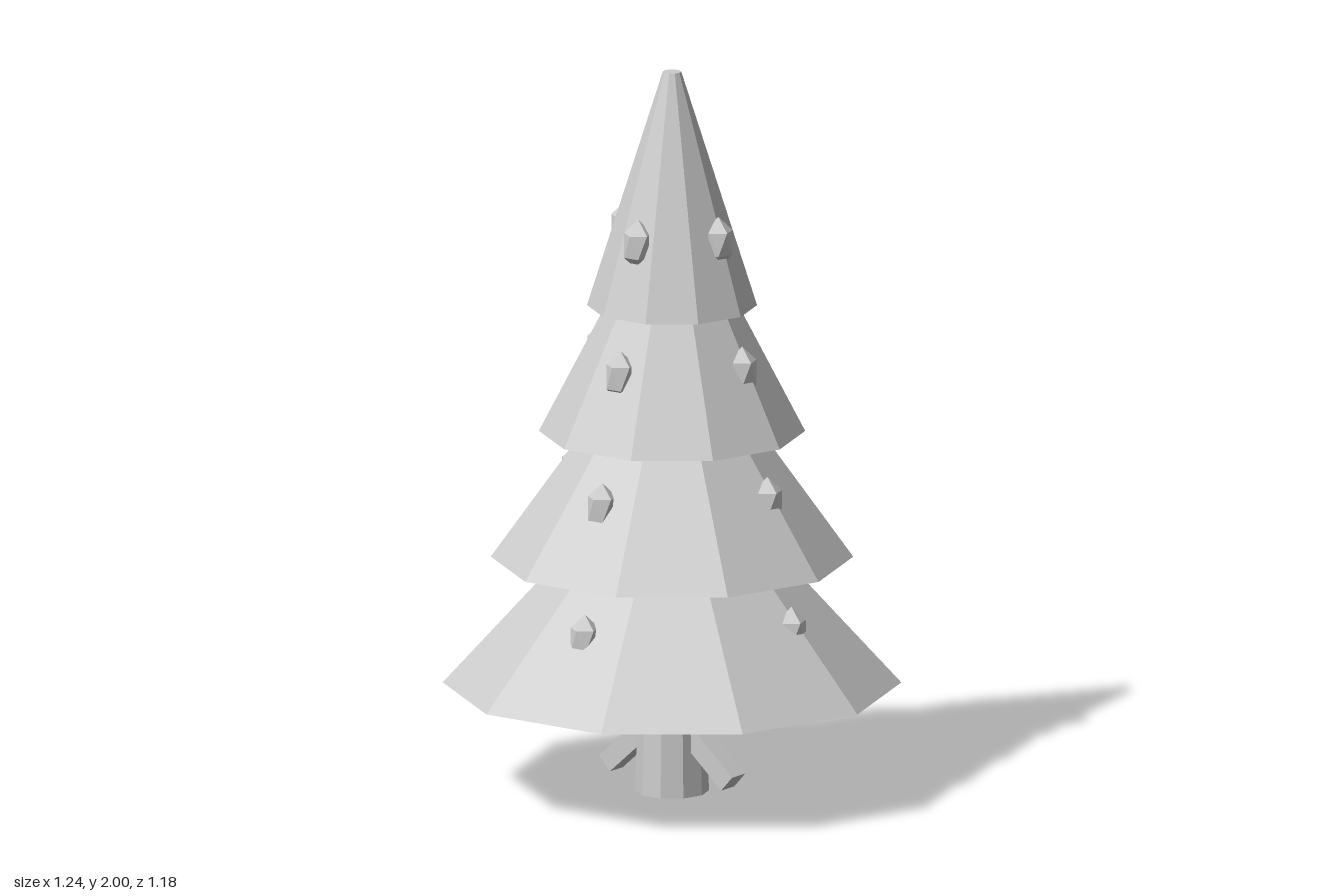
import * as THREE from 'three';

export function createModel() {
  const tree = new THREE.Group();
  tree.name = 'pineTree';
  const paleGrey = new THREE.MeshStandardMaterial({ color: 0xcccccc, flatShading: true });
  paleGrey.name = 'paleGrey';

  const add = (name, geometry, x, y, z) => {
    const mesh = new THREE.Mesh(geometry, paleGrey);
    mesh.name = name;
    mesh.position.set(x, y, z);
    tree.add(mesh);
    return mesh;
  };
  // Ten-sided frustum with corners on the x axis, standing on its base
  const frustum = (top, bottom, height) =>
    new THREE.CylinderGeometry(top, bottom, height, 10, 1, false, Math.PI / 2)
      .translate(0, height / 2, 0);

  // Trunk with two drooping stub branches
  add('trunk', frustum(0.085, 0.1, 0.45), 0, 0, 0);
  for (const side of [-1, 1]) {
    const stub = add('stubBranch', new THREE.BoxGeometry(0.24, 0.055, 0.06), side * 0.115, 0.132, 0);
    stub.rotation.z = -side * 0.73;
  }

  // Pine cone: icosahedron turned corner-up and stretched
  const cone = new THREE.IcosahedronGeometry(0.045, 0)
    .rotateX(-Math.atan((1 + Math.sqrt(5)) / 2))
    .scale(1, 1.58, 1);

  // Foliage tiers, each with four cones
  const tiers = [
    { y: 0.3, radius: 0.62, coneRadius: 0.4 },
    { y: 0.65, radius: 0.49, coneRadius: 0.32 },
    { y: 1.0, radius: 0.36, coneRadius: 0.235 },
    { y: 1.35, radius: 0.23, coneRadius: 0.155 },
  ];
  for (const { y, radius, coneRadius } of tiers) {
    add('foliageTier', frustum(0.025, radius, 0.65), 0, y, 0);
    for (let i = 0; i < 4; i++) {
      const a = (i * Math.PI) / 2;
      add('pineCone', cone, Math.sin(a) * coneRadius, y + 0.197, Math.cos(a) * coneRadius);
    }
  }
  return tree;
}
